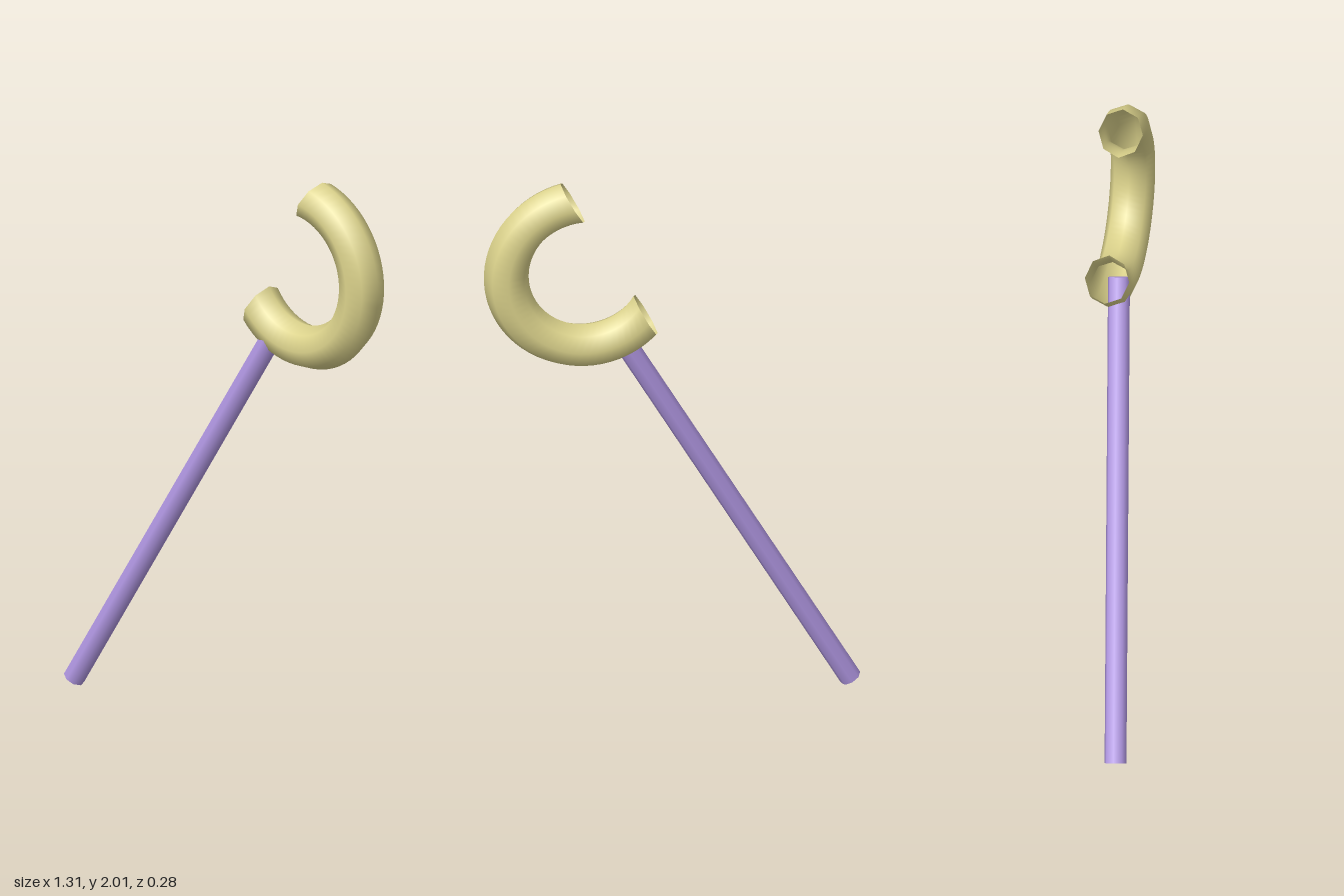
import * as THREE from 'three';

const RING = 0.27, TUBE = 0.077;   // hook ring radius and tube radius
const CUT = 0.0965;                // distance of the flat cut behind the ring centre
const OPEN_TILT = -Math.PI / 6;    // direction the closed side of the hook points

// Hollow ring cut by a flat plane: each line along the tube is swept until it meets the plane
function hookGeometry() {
  const geo = new THREE.TorusGeometry(RING, TUBE, 8, 40, Math.PI);
  const { position, normal, uv } = geo.attributes;
  for (let i = 0; i < position.count; i++) {
    const v = uv.getY(i) * Math.PI * 2;
    const rho = RING + TUBE * Math.cos(v);
    const reach = Math.PI / 2 + Math.asin(CUT / rho);
    const u = OPEN_TILT + (uv.getX(i) * 2 - 1) * reach;
    position.setXYZ(i, rho * Math.cos(u), rho * Math.sin(u), TUBE * Math.sin(v));
    normal.setXYZ(i, Math.cos(v) * Math.cos(u), Math.cos(v) * Math.sin(u), Math.sin(v));
  }
  return geo;
}

export function createModel() {
  const model = new THREE.Group();

  const khaki = new THREE.MeshStandardMaterial({ color: 0xdcd38c, side: THREE.DoubleSide });
  khaki.name = 'khaki';
  const lilac = new THREE.MeshStandardMaterial({ color: 0xb298e4 });
  lilac.name = 'lilac';

  // Open hook at the top
  const hook = new THREE.Mesh(hookGeometry(), khaki);
  hook.name = 'hook';
  hook.position.set(0.31, 1.67, -0.064);
  model.add(hook);

  // Slanted pole running up into the hook
  const foot = new THREE.Vector3(-0.623, 0.02, 0.102);
  const head = new THREE.Vector3(0.205, 1.45, -0.042);
  const axis = head.clone().sub(foot);
  const pole = new THREE.Mesh(new THREE.CylinderGeometry(0.038, 0.038, axis.length(), 8), lilac);
  pole.name = 'pole';
  pole.position.copy(foot).lerp(head, 0.5);
  pole.quaternion.setFromUnitVectors(new THREE.Vector3(0, 1, 0), axis.normalize());
  model.add(pole);

  return model;
}
